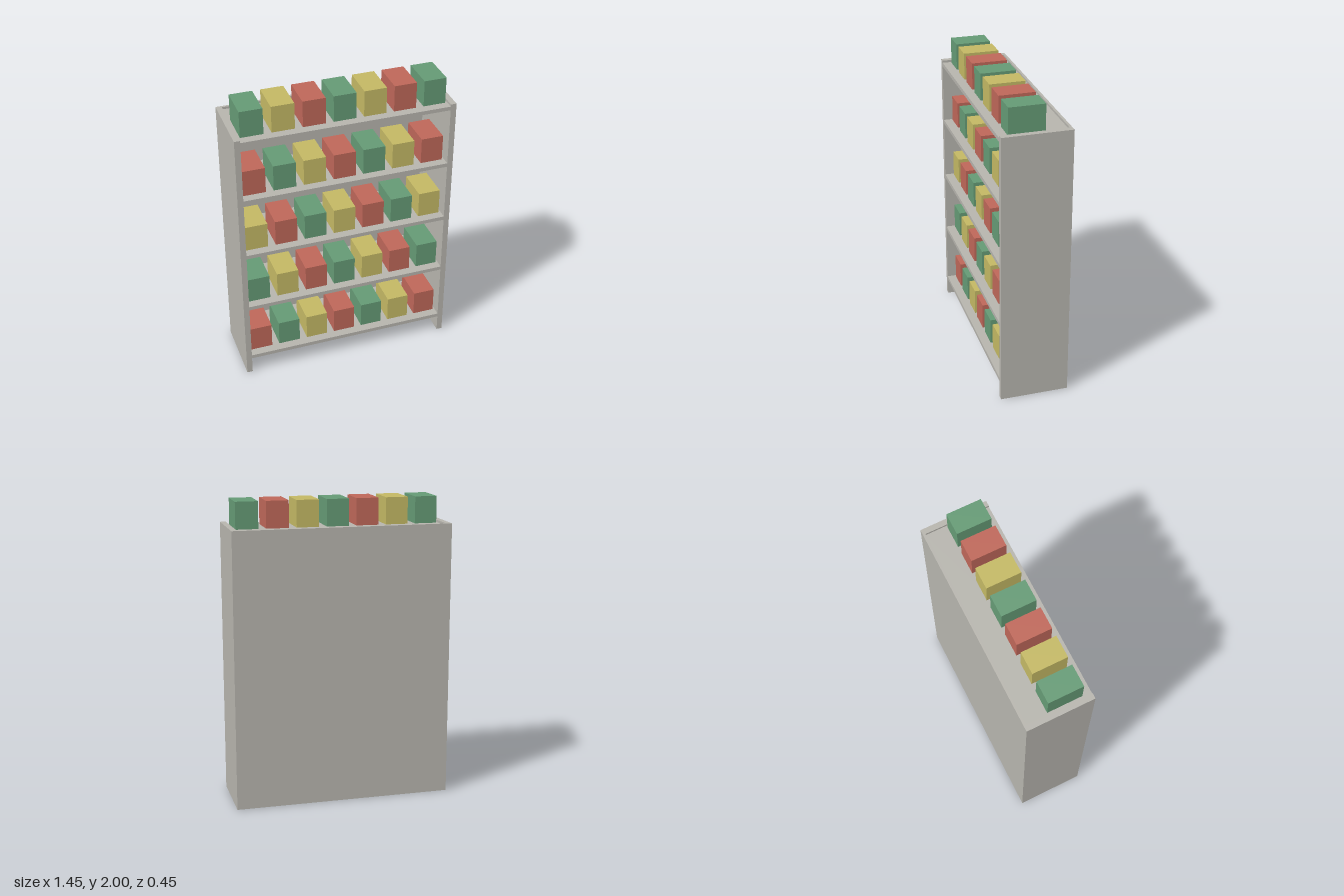
import * as THREE from 'three';

const material = (name, color) => {
  const m = new THREE.MeshStandardMaterial({ color });
  m.name = name;
  return m;
};

// Box given by its lower and upper corners
function block(name, mat, [x0, y0, z0], [x1, y1, z1]) {
  const mesh = new THREE.Mesh(new THREE.BoxGeometry(x1 - x0, y1 - y0, z1 - z0), mat);
  mesh.position.set((x0 + x1) / 2, (y0 + y1) / 2, (z0 + z1) / 2);
  mesh.name = name;
  return mesh;
}

export function createModel() {
  const grey = material('grey metal', 0xb6b4ad);
  const cartonColours = [
    material('green carton', 0x659a75),
    material('yellow carton', 0xc3b864),
    material('red carton', 0xbe6759),
  ];

  const W = 0.723, IN = 0.685, H = 1.838, BACK = -0.226, FRONT = 0.226, PANEL = -0.209;
  const model = new THREE.Group();
  model.name = 'stockedShelf';

  // Cabinet: two sides and a back panel
  model.add(
    block('leftSide', grey, [IN, 0, BACK], [W, H, FRONT]),
    block('rightSide', grey, [-W, 0, BACK], [-IN, H, FRONT]),
    block('backPanel', grey, [-IN, 0, BACK], [IN, H, PANEL]),
  );

  // Five shelves, each with a row of seven cartons in repeating colours
  for (let row = 0; row < 5; row++) {
    const top = 0.143 + row * 0.42;
    model.add(block('shelf', grey, [-IN, top - 0.026, PANEL], [IN, top, FRONT]));

    const cartons = new THREE.Group();
    cartons.name = 'cartonRow';
    for (let i = 0; i < 7; i++) {
      const x = (i - 3) * 0.199;
      const mat = cartonColours[(row + 2 + i) % 3];
      cartons.add(block('carton', mat, [x - 0.074, top, -0.065], [x + 0.074, top + 0.177, 0.167]));
    }
    model.add(cartons);
  }
  return model;
}
